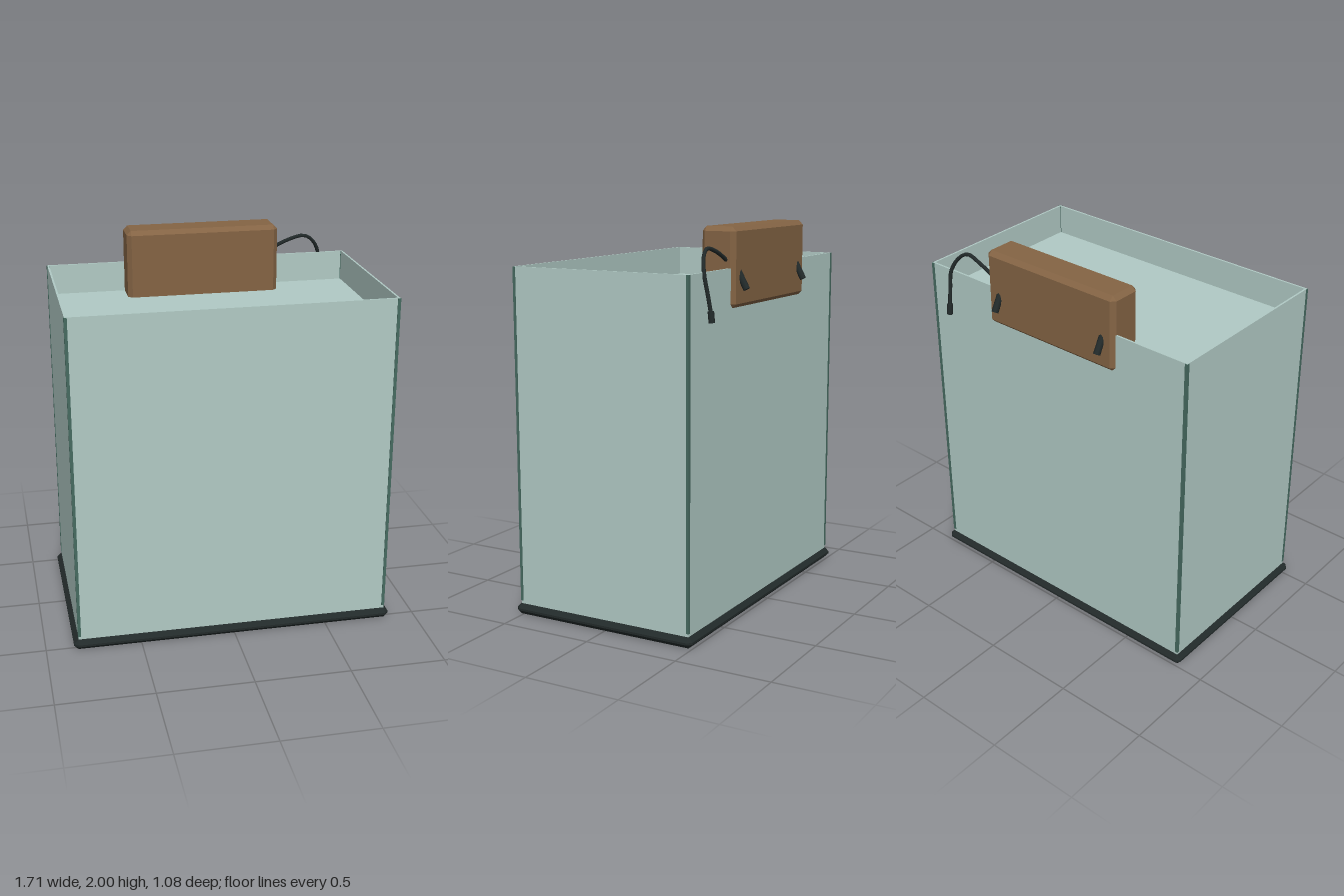
import * as THREE from 'three';
import { ConvexGeometry } from 'three/addons/geometries/ConvexGeometry.js';

const mat = (name, color) => {
  const m = new THREE.MeshStandardMaterial({ color });
  m.name = name;
  return m;
};

// Box with every edge cut by a single flat chamfer
function chamferBox(w, h, d, c) {
  const pts = [];
  for (const x of [-w / 2, w / 2]) for (const y of [-h / 2, h / 2]) for (const z of [-d / 2, d / 2]) {
    const ix = x - Math.sign(x) * c, iy = y - Math.sign(y) * c, iz = z - Math.sign(z) * c;
    pts.push(new THREE.Vector3(x, iy, iz), new THREE.Vector3(ix, y, iz), new THREE.Vector3(ix, iy, z));
  }
  return new ConvexGeometry(pts);
}

export function createModel() {
  const model = new THREE.Group();
  model.name = 'fishTank';
  const glass = mat('pale green glass', 0xb1cac5);
  const edge = mat('dark green glass edge', 0x466a60);
  const black = mat('black plastic', 0x222a2a);
  const brown = mat('brown casing', 0x846444);

  const add = (name, geometry, material, x = 0, y = 0, z = 0) => {
    const mesh = new THREE.Mesh(geometry, material);
    mesh.name = name;
    mesh.position.set(x, y, z);
    model.add(mesh);
    return mesh;
  };

  // Tank extents
  const X = 0.83, zFront = 0.515, zBack = -0.476, t = 0.01;
  const zMid = (zFront + zBack) / 2, depth = zFront - zBack;
  const yLow = 0.05, yTop = 1.8, wallH = yTop - yLow, yMid = (yTop + yLow) / 2;

  // Base tray
  add('base', chamferBox(1.71, 0.055, 1.04, 0.022), black, 0, 0.0275, zMid);

  // Four glass walls
  add('frontWall', new THREE.BoxGeometry(2 * X, wallH, t), glass, 0, yMid, zFront - t / 2);
  add('backWall', new THREE.BoxGeometry(2 * X, wallH, t), glass, 0, yMid, zBack + t / 2);
  for (const s of [1, -1]) {
    add(s > 0 ? 'leftWall' : 'rightWall', new THREE.BoxGeometry(t, wallH, depth - 2 * t), glass, s * (X - t / 2), yMid, zMid);
  }

  // Water filling the tank to just below the rim
  add('water', new THREE.BoxGeometry(2 * (X - t), 1.58, depth - 2 * t), glass, 0, 0.85, zMid);

  // Dark seams on the corners
  for (const x of [-X, X]) for (const z of [zFront, zBack]) {
    add('cornerSeam', new THREE.BoxGeometry(0.016, 1.728, 0.014), edge,
      x - Math.sign(x) * 0.005, 0.935, z - (z > 0 ? 0.004 : -0.004));
  }

  // Filter box hung over the back wall
  add('filterBox', chamferBox(0.825, 0.4, 0.185, 0.023), brown, 0, 1.8, -0.4025);

  // Slanted pegs on the back of the filter
  for (const x of [-0.335, 0.335]) {
    const peg = add('peg', new THREE.CylinderGeometry(0.018, 0.018, 0.11, 8), black, x, 1.742, -0.5);
    peg.rotation.x = 0.5;
  }

  // Power cable arching over the rim, with its plug
  const cablePath = new THREE.CatmullRomCurve3([
    [0.4, 1.835, -0.45], [0.5, 1.882, -0.45], [0.595, 1.905, -0.445],
    [0.65, 1.87, -0.457], [0.688, 1.795, -0.48], [0.685, 1.7, -0.498], [0.68, 1.61, -0.513],
  ].map(p => new THREE.Vector3(...p)));
  add('cable', new THREE.TubeGeometry(cablePath, 20, 0.01, 6), black);
  const plug = add('plug', new THREE.CylinderGeometry(0.016, 0.016, 0.055, 8), black, 0.68, 1.593, -0.515);
  plug.rotation.x = 0.1;

  return model;
}
